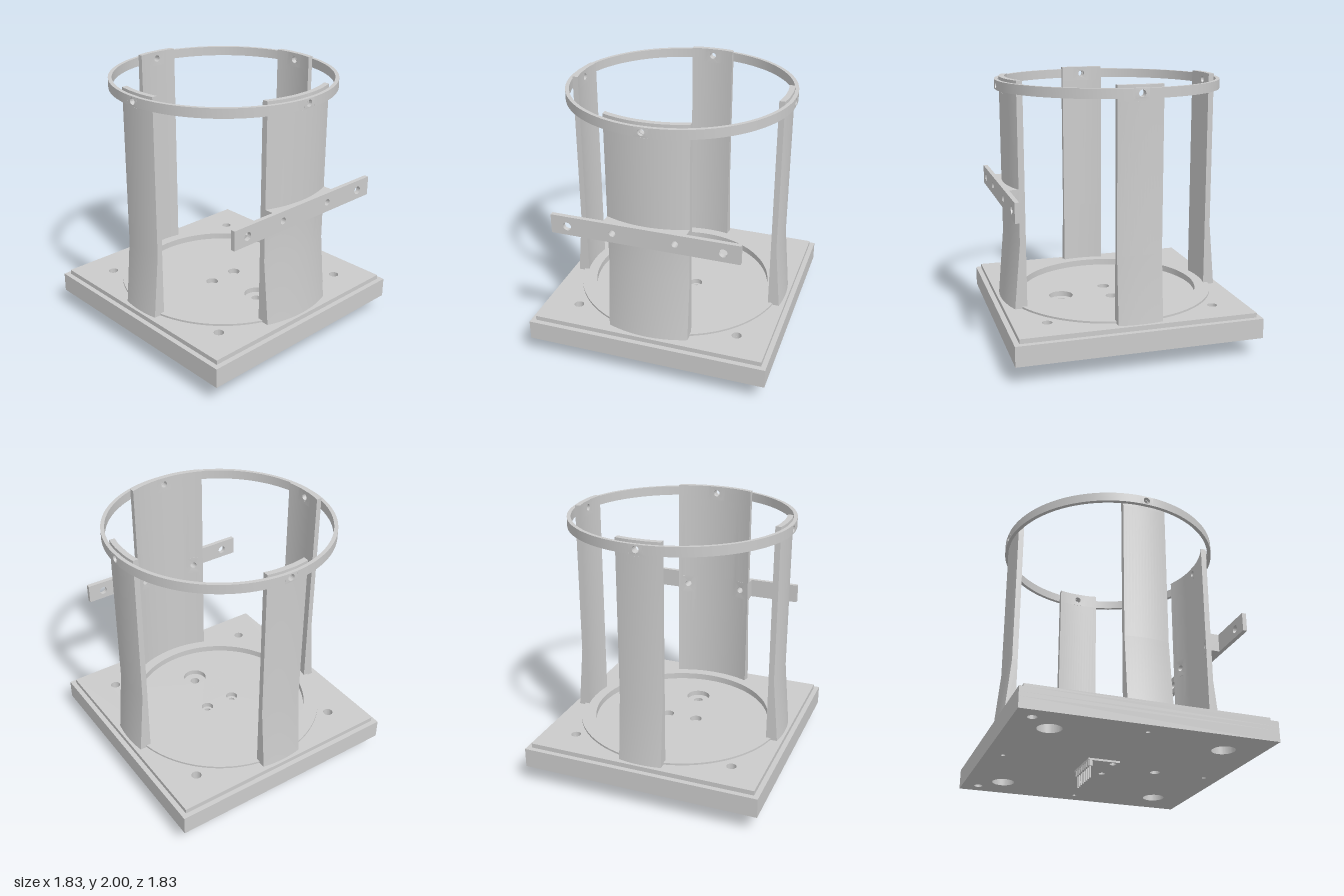
import * as THREE from 'three';
import { mergeGeometries, toCreasedNormals } from 'three/addons/utils/BufferGeometryUtils.js';

const material = new THREE.MeshStandardMaterial({ color: 0xcccccc });

function add(group, name, geometry) {
  const mesh = new THREE.Mesh(toCreasedNormals(geometry, 0.4), material);
  mesh.name = name;
  group.add(mesh);
  return mesh;
}

function rect(x0, x1, y0, y1) {
  return new THREE.Shape([[x0, y0], [x1, y0], [x1, y1], [x0, y1]].map(p => new THREE.Vector2(...p)));
}

function circle(r) {
  const s = new THREE.Shape();
  s.absarc(0, 0, r, 0, Math.PI * 2);
  return s;
}

// holes: list of [x, y, radius]
function extrude(shape, holes, depth, curveSegments = 32) {
  for (const [x, y, r] of holes) {
    const p = new THREE.Path();
    p.absarc(x, y, r, 0, Math.PI * 2, true);
    shape.holes.push(p);
  }
  return new THREE.ExtrudeGeometry(shape, { depth, bevelEnabled: false, curveSegments });
}

// Horizontal slab between two heights; holes are [x, z, radius]
function slab(shape, holes, y0, y1, segments) {
  return extrude(shape, holes.map(([x, z, r]) => [x, -z, r]), y1 - y0, segments)
    .rotateX(-Math.PI / 2).translate(0, y0, 0);
}

// Panel facing +z, made of rows [y0, y1, holeXs, holeRadius], bent onto an
// inner cylinder; its outer face follows outer(x, y).
function panel(halfWidth, rows, innerRadius, outer) {
  const cells = [];
  for (const [y0, y1, holeXs = [], r = 0] of rows) {
    const solid = (x0, x1) => {
      if (x1 - x0 < 0.001) return;
      const n = Math.ceil((x1 - x0) / 0.025);
      cells.push(new THREE.BoxGeometry(x1 - x0, y1 - y0, 1, n, 1, 1)
        .translate((x0 + x1) / 2, (y0 + y1) / 2, 0.5).toNonIndexed());
    };
    let x = -halfWidth;
    for (const h of holeXs) {
      solid(x, h - 0.05);
      cells.push(extrude(rect(h - 0.05, h + 0.05, y0, y1), [[h, (y0 + y1) / 2, r]], 1, 16));
      x = h + 0.05;
    }
    solid(x, halfWidth);
  }
  const geometry = mergeGeometries(cells);
  const p = geometry.attributes.position;
  for (let i = 0; i < p.count; i++) {
    const x = p.getX(i);
    const inner = Math.sqrt(innerRadius ** 2 - x * x);
    p.setZ(i, THREE.MathUtils.lerp(inner, outer(x, p.getY(i)), p.getZ(i)));
  }
  return geometry;
}

export function createModel() {
  const model = new THREE.Group();
  model.name = 'columnStand';

  // Base plate: stacked layers give the counterbores and blind holes
  const base = new THREE.Group();
  base.name = 'base';
  model.add(base);
  const corners = r => [-0.63, 0.63].flatMap(x => [-0.63, 0.63].map(z => [x, z, r]));
  const centre = (big, small) => [[0, 0.38, big], [-0.12, 0, small], [0.12, 0, small]];
  const screws = [[0.785, 0], [-0.785, 0], [0, 0.785], [0, -0.785]].map(p => [...p, 0.016]);
  const blind = [[0.79, -0.79, 0.033], [-0.79, -0.79, 0.033]];
  const square = h => rect(-h, h, -h, h);
  add(base, 'baseBottom', slab(square(0.915),
    [...corners(0.085), ...centre(0.037, 0.025), ...screws, ...blind], 0.14, 0.22));
  add(base, 'baseMiddle', slab(square(0.915), [...corners(0.037), ...centre(0.037, 0.025)], 0.22, 0.25));
  add(base, 'baseTop', slab(square(0.915), [...corners(0.037), ...centre(0.093, 0.047)], 0.25, 0.29));
  add(base, 'raisedPlate', slab(square(0.877), [...corners(0.037), [0, 0, 0.69]], 0.29, 0.325, 96));
  add(base, 'baseRim', slab(circle(0.805), [[0, 0, 0.69]], 0.325, 0.34, 96));

  // Four curved columns, flared at the foot
  const flared = (x, y) => {
    const r = 0.811 + 0.044 * Math.max(0, (0.82 - y) / 0.495);
    return Math.sqrt(r * r - x * x);
  };
  const foot = [0.325, 0.82];
  const head = [1.89, 2, [0], 0.025];
  const plainRows = [foot, [0.82, 1.89], head];
  const frontRows = [foot, [0.82, 1.08], [1.08, 1.225, [-0.23, 0.23], 0.025], [1.225, 1.89], head];
  add(model, 'frontColumn', panel(0.305, frontRows, 0.77, flared));
  ['leftColumn', 'backColumn', 'rightColumn'].forEach((name, i) => {
    add(model, name, panel(0.165, plainRows, 0.77, flared)).rotation.y = (i + 1) * Math.PI / 2;
  });

  // Top ring: plain arcs joined by drilled pieces
  const ring = new THREE.Group();
  ring.name = 'topRing';
  ring.position.z = 0.005;
  model.add(ring);
  for (let i = 0; i < 4; i++) {
    const arc = new THREE.Shape();
    arc.absarc(0, 0, 0.841, 0.06, Math.PI / 2 - 0.06);
    arc.absarc(0, 0, 0.813, Math.PI / 2 - 0.06, 0.06, true);
    add(ring, 'ringArc', slab(arc, [], 1.91, 1.98)).rotation.y = i * Math.PI / 2;
    add(ring, 'ringJoint', panel(0.05, [[1.91, 1.98, [0], 0.025]], 0.813,
      x => Math.sqrt(0.841 ** 2 - x * x))).rotation.y = i * Math.PI / 2;
  }

  // Front mounting bar: centre block fitted to the column, and two wings
  const bar = new THREE.Group();
  bar.name = 'mountingBar';
  model.add(bar);
  add(bar, 'barCentre', panel(0.305, [[1.08, 1.225, [-0.23, 0.23], 0.025]], 0.8, () => 0.853));
  for (const s of [-1, 1]) {
    const wing = rect(s < 0 ? -0.695 : 0.305, s < 0 ? -0.305 : 0.695, 1.08, 1.225);
    add(bar, 'barWing', extrude(wing, [[s * 0.572, 1.148, 0.031]], 0.033).translate(0, 0, 0.82));
  }

  // Circuit board with a row of pins under the base
  const board = new THREE.Group();
  board.name = 'sensorBoard';
  model.add(board);
  add(board, 'boardPlate', slab(rect(-0.16, 0.16, -0.04, 0.2).clone(),
    [], 0.125, 0.14).scale(1, 1, -1).rotateZ(0) && slab(rect(-0.16, 0.16, -0.04, 0.2),
    [[-0.12, 0, 0.025], [0.12, 0, 0.025]], 0.125, 0.14));
  for (let i = 0; i < 8; i++) {
    const x = -0.138 + i * 0.039;
    add(board, 'pinHousing', new THREE.CylinderGeometry(0.0205, 0.0205, 0.04, 8)
      .rotateY(Math.PI / 8).translate(x, 0.105, -0.182));
    add(board, 'pin', new THREE.BoxGeometry(0.011, 0.125, 0.011).translate(x, 0.0625, -0.182));
  }
  return model;
}
